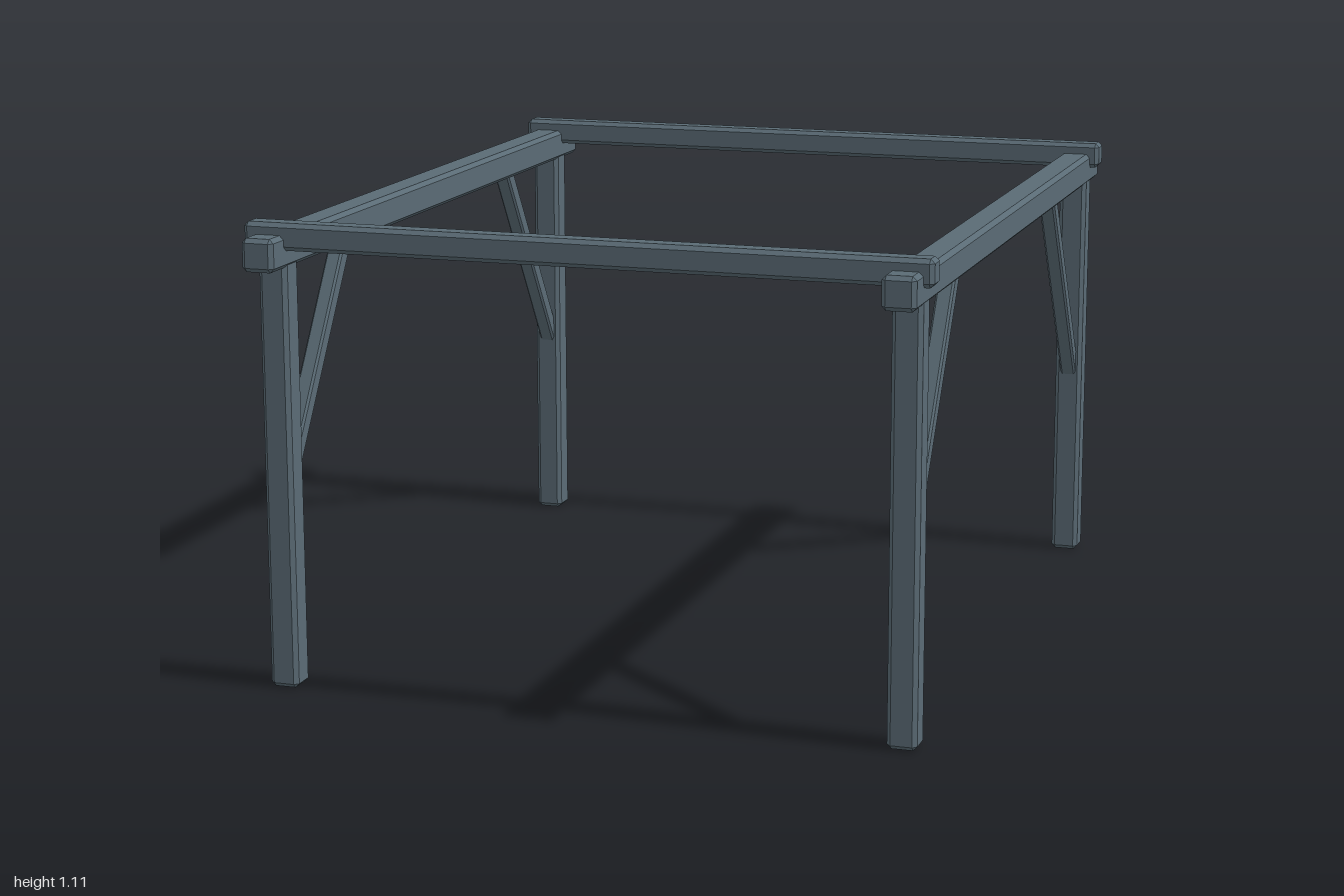
import * as THREE from 'three';
import { ConvexGeometry } from 'three/addons/geometries/ConvexGeometry.js';

// Box with every edge chamfered by b
function chamferBox(w, h, d, b) {
  const half = [w / 2, h / 2, d / 2];
  const points = [];
  for (let axis = 0; axis < 3; axis++) {
    for (const sx of [-1, 1]) for (const sy of [-1, 1]) for (const sz of [-1, 1]) {
      const p = half.map((v, i) => (i === axis ? v : v - b));
      points.push(new THREE.Vector3(sx * p[0], sy * p[1], sz * p[2]));
    }
  }
  return new ConvexGeometry(points);
}

export function createModel() {
  const model = new THREE.Group();
  model.name = 'pergolaFrame';
  const paint = new THREE.MeshStandardMaterial({ color: 0x5a6b75 });
  paint.name = 'slate grey paint';

  function add(name, geometry, x, y, z, rx = 0) {
    const mesh = new THREE.Mesh(geometry, paint);
    mesh.name = name;
    mesh.position.set(x, y, z);
    mesh.rotation.x = rx;
    model.add(mesh);
  }

  const postX = 0.748, postZ = 0.887, bevel = 0.01;
  const post = chamferBox(0.07, 1.02, 0.07, bevel);
  const sideBeam = chamferBox(0.078, 0.078, 2, bevel);
  const crossBeam = chamferBox(1.62, 0.064, 0.06, bevel);

  // Brace runs from the post's inner face up to the underside of the side beam
  const low = { y: 0.52, z: 0.855 }, high = { y: 1.005, z: 0.538 };
  const dy = high.y - low.y, dz = high.z - low.z;
  const brace = chamferBox(0.04, Math.hypot(dy, dz) + 0.06, 0.04, 0.005);
  const tilt = Math.atan2(dz, dy);

  for (const sx of [1, -1]) {
    const side = sx > 0 ? 'left' : 'right';
    add(side + 'Beam', sideBeam, sx * postX, 1.043, 0);
    for (const sz of [1, -1]) {
      const corner = side + (sz > 0 ? 'Front' : 'Back');
      add(corner + 'Post', post, sx * postX, 0.51, sz * postZ);
      add(corner + 'Brace', brace, sx * postX, (low.y + high.y) / 2,
        sz * (low.z + high.z) / 2, sz * tilt);
    }
  }

  // Cross beams notched over the side beams
  add('frontCrossBeam', crossBeam, 0, 1.078, 0.907);
  add('backCrossBeam', crossBeam, 0, 1.078, -0.907);

  return model;
}
